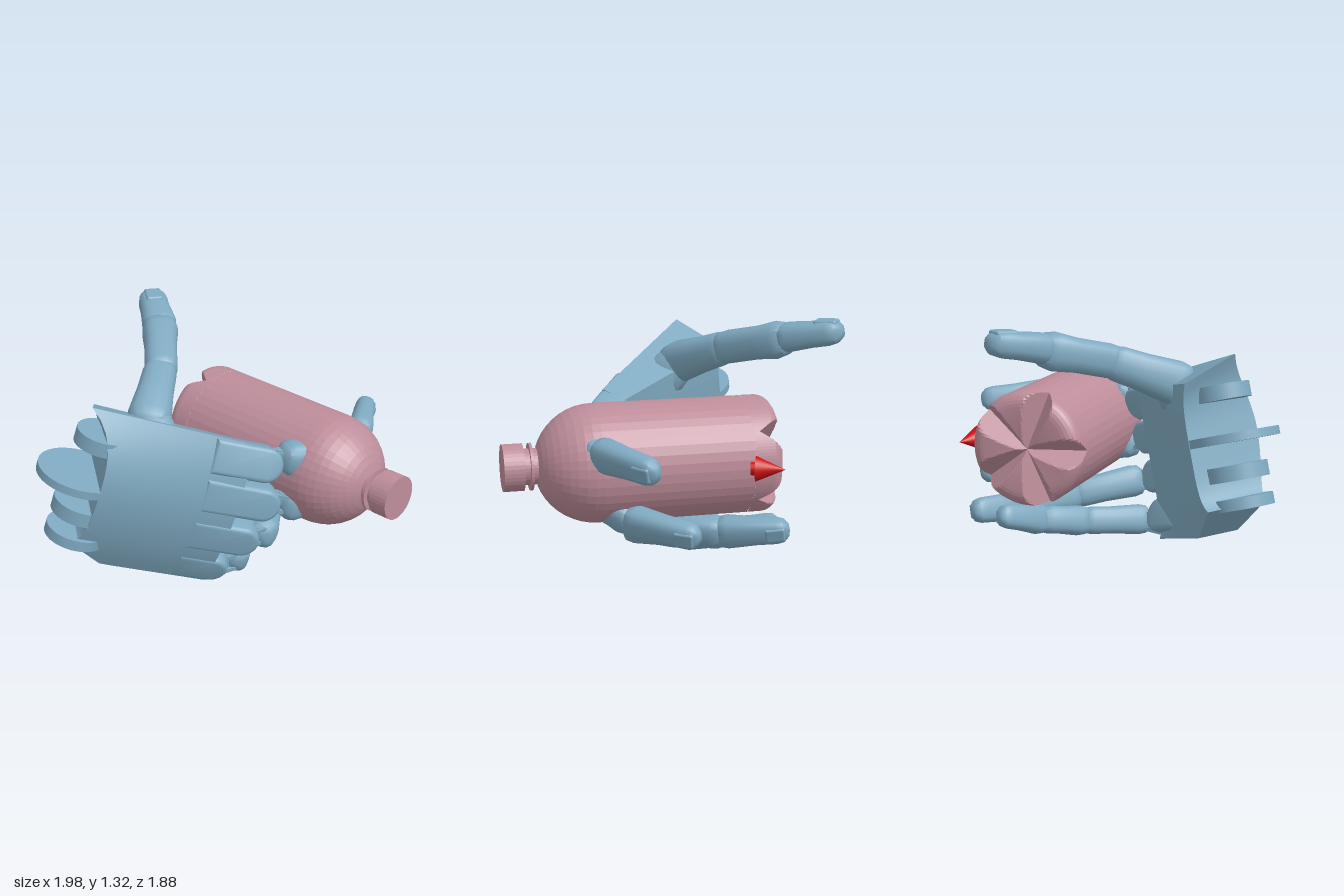
import * as THREE from 'three';
import { toCreasedNormals } from 'three/addons/utils/BufferGeometryUtils.js';
import { RoundedBoxGeometry } from 'three/addons/geometries/RoundedBoxGeometry.js';

const V = (x, y, z) => new THREE.Vector3(x, y, z);
const handMat = new THREE.MeshStandardMaterial({ color: 0x7fa9c0 });
const bottleMat = new THREE.MeshStandardMaterial({ color: 0xbd8d9a, flatShading: true });
const redMat = new THREE.MeshStandardMaterial({ color: 0xcc1111 });

// Hand frame: along the palm to the knuckles, across it, and out of its back
const along = V(0.76, -0.3, 0.575).normalize();
const across = V(0.25, 0.95, 0.17).normalize();
const back = along.clone().cross(across).normalize();
across.crossVectors(back, along);
const origin = V(-0.4, 0.6, 0.19);
const handPoint = (a, b, c) =>
  origin.clone().addScaledVector(along, a).addScaledVector(across, b).addScaledVector(back, c);
const arch = b => -0.5 * b * b;

function add(group, name, geometry, material) {
  const mesh = new THREE.Mesh(geometry, material);
  mesh.name = name;
  group.add(mesh);
  return mesh;
}

// Rounded, slightly square segment from p to q, with a waist and an optional nail
function segment(name, p, q, r0, r1, { side = across, nail = false, flat = 1 } = {}) {
  const group = new THREE.Group();
  group.name = name;
  const dir = q.clone().sub(p), L = dir.length();
  dir.normalize();
  const waist = (r0 + r1) * 0.47;
  const profile = [
    [0, -r0 * 0.5], [r0 * 0.6, -r0 * 0.4], [r0 * 0.92, -r0 * 0.1], [r0, r0 * 0.35],
    [waist, L * 0.5], [r1, L - r1], [r1 * 0.87, L - r1 * 0.45], [r1 * 0.5, L - r1 * 0.1], [0, L],
  ].map(([x, y]) => new THREE.Vector2(x, y));
  const geo = new THREE.LatheGeometry(profile, 20);
  const pos = geo.attributes.position;
  for (let i = 0; i < pos.count; i++) {
    const x = pos.getX(i), z = pos.getZ(i), r = Math.hypot(x, z);
    if (r < 1e-6) continue;
    const k = 1 / Math.cbrt(Math.abs(x / r) ** 3 + Math.abs(z / r) ** 3);
    pos.setX(i, x * k);
    pos.setZ(i, z * k * flat);
  }
  add(group, name + 'Shell', toCreasedNormals(geo, 0.7), handMat);
  if (nail) {
    const plate = add(group, 'nail', new RoundedBoxGeometry(r1 * 1.15, r1 * 1.5, r1 * 0.35, 3, r1 * 0.17), handMat);
    plate.position.set(0, L - r1 * 1.05, r1 * 0.84 * flat);
    plate.rotation.x = -0.12;
  }
  const top = dir.clone().cross(side).normalize();
  group.quaternion.setFromRotationMatrix(new THREE.Matrix4().makeBasis(dir.clone().cross(top), dir, top));
  group.position.copy(p);
  return group;
}

// Hinge: two lugs and a pin between a knuckle and a finger
function hinge(p, q) {
  const group = new THREE.Group();
  group.name = 'fingerHinge';
  const dir = q.clone().sub(p), L = dir.length();
  dir.normalize();
  for (const s of [-1, 1])
    add(group, 'hingeLug', new THREE.BoxGeometry(0.022, L + 0.06, 0.07), handMat).position.set(s * 0.045, L / 2, 0);
  add(group, 'hingePin', new THREE.CylinderGeometry(0.022, 0.022, 0.12, 12).rotateZ(Math.PI / 2), handMat).position.y = L / 2;
  const top = dir.clone().cross(across).normalize();
  group.quaternion.setFromRotationMatrix(new THREE.Matrix4().makeBasis(dir.clone().cross(top), dir, top));
  group.position.copy(p);
  return group;
}

// Positions of the four knuckle lobes: reach along the palm, place across it
const knuckles = { index: [0.4, 0.29], middle: [0.445, 0.065], ring: [0.405, -0.195], little: [0.31, -0.445] };

function buildPalm() {
  const palm = new THREE.Group();
  palm.name = 'palm';
  palm.quaternion.setFromRotationMatrix(new THREE.Matrix4().makeBasis(along, across, back));
  palm.position.copy(origin);

  // Arched plate, thicker at the wrist, cut off at its lower corner and drawn in towards the thumb
  const geo = new THREE.BoxGeometry(1, 1, 1, 12, 16, 1);
  const pos = geo.attributes.position;
  for (let i = 0; i < pos.count; i++) {
    const s = pos.getX(i) + 0.5, w = pos.getY(i) + 0.5, outer = pos.getZ(i) > 0;
    const edge = Math.min(1, Math.abs(w * 2 - 1) ** 4);
    const start = -0.55 - (w > 0.5 && outer ? 0.13 : 0.06) * edge;
    const a = start + (0.21 - start) * s;
    const low = -0.53 + 0.13 * Math.max(0, (-0.4 - a) / 0.2);
    const depth = -0.45 + 0.24 * s;
    const high = outer ? 0.385 : 0.39 + 0.26 * depth;
    const b = low + (high - low) * w;
    const crown = arch(b) - (w > 0.5 ? 0.08 * (1 - s) * (2 * w - 1) ** 2 : 0);
    pos.setXYZ(i, a, b, outer ? crown : Math.min(depth, arch(b) - 0.1));
  }
  add(palm, 'palmPlate', toCreasedNormals(geo, 0.5), handMat);

  // Round-ended knuckle lobes, flush with the back of the palm
  for (const [finger, [a, b]] of Object.entries(knuckles)) {
    const r = 0.097, bevel = 0.025;
    const shape = new THREE.Shape();
    shape.moveTo(0, -r);
    shape.lineTo(a - r, -r);
    shape.absarc(a - r, 0, r, -Math.PI / 2, Math.PI / 2, false);
    shape.lineTo(0, r);
    const lobe = new THREE.ExtrudeGeometry(shape, {
      depth: 0.11, bevelThickness: bevel, bevelSize: bevel, bevelOffset: -bevel, bevelSegments: 3, curveSegments: 16,
    }).translate(0, 0, -0.11 - bevel);
    const mesh = add(palm, finger + 'Knuckle', toCreasedNormals(lobe, 0.6), handMat);
    mesh.position.set(0, b, arch(b) + 0.004);
    mesh.rotation.x = Math.atan(-b);
  }

  // Wrist: one broad disc and several rounded tabs
  const disc = add(palm, 'wristDisc', new THREE.CylinderGeometry(0.24, 0.24, 0.045, 40), handMat);
  disc.position.set(-0.628, -0.04, -0.22);
  for (const [b, r, h] of [[0.2, 0.15, 0.08], [-0.22, 0.17, 0.08], [-0.38, 0.17, 0.06]])
    add(palm, 'wristTab', new THREE.CylinderGeometry(r, r, h, 32), handMat).position.set(-0.57, b, -0.2);
  return palm;
}

function buildFinger(name, r, path) {
  const finger = new THREE.Group();
  finger.name = name + 'Finger';
  const [a, b] = knuckles[name];
  finger.add(hinge(handPoint(a - 0.05, b, arch(b) - 0.085), path[0]));
  ['proximalSegment', 'middleSegment', 'fingertip'].forEach((part, i) => {
    const end = i === 2;
    const q = path[i + 1].clone();
    if (!end) q.addScaledVector(q.clone().sub(path[i]).normalize(), r * 0.3);
    finger.add(segment(part, path[i], q, r * (1.05 - i * 0.02), r * (end ? 0.8 : 0.96), { nail: end, flat: end ? 0.8 : 0.93 }));
  });
  return finger;
}

function buildThumb() {
  const thumb = new THREE.Group();
  thumb.name = 'thumb';
  const side = V(-0.8, 0, -0.5);
  thumb.add(segment('thumbBase', V(-0.43, 0.88, -0.11), V(-0.33, 1.06, -0.24), 0.13, 0.1, { side }));
  thumb.add(segment('thumbProximal', V(-0.41, 0.97, -0.18), V(-0.05, 1.13, -0.42), 0.12, 0.095, { side }));
  thumb.add(segment('thumbMiddle', V(-0.1, 1.11, -0.38), V(0.21, 1.21, -0.69), 0.092, 0.102, { side }));
  thumb.add(segment('thumbTip', V(0.17, 1.205, -0.65), V(0.37, 1.265, -0.92), 0.098, 0.085, { side, nail: true, flat: 0.82 }));
  return thumb;
}

function buildBottle() {
  const bottle = new THREE.Group();
  bottle.name = 'bottle';
  const R = 0.317;
  const lathe = (pts, n) => new THREE.LatheGeometry(pts.map(([x, y]) => new THREE.Vector2(x, y)), n);

  // Base with a rounded rim; five V grooves cut across it, deepest at the rim
  const rim = [];
  for (let i = 0; i <= 12; i++) rim.push([0.02 * i, -0.48 - 0.03 * Math.sin((i / 12) * Math.PI / 2)]);
  for (let i = 1; i <= 6; i++) {
    const t = (i / 6) * Math.PI / 2;
    rim.push([0.24 + (R - 0.24) * Math.sin(t), -0.44 - 0.07 * Math.cos(t)]);
  }
  for (let i = 1; i <= 9; i++) rim.push([R, -0.44 + i * 0.01]);
  const base = lathe(rim, 120);
  const pos = base.attributes.position;
  for (let i = 0; i < pos.count; i++) {
    const x = pos.getX(i), y = pos.getY(i), z = pos.getZ(i), r = Math.hypot(x, z);
    const step = Math.PI * 0.4, ang = Math.atan2(-z, x) - step / 2;
    const off = Math.abs(ang - Math.round(ang / step) * step) * r;
    pos.setY(i, Math.min(-0.35, Math.max(y, -0.46 + 0.08 * (r / R) - 1.4 * off)));
  }
  add(bottle, 'bottleBase', base.rotateX(Math.PI / 2), bottleMat);

  // Straight wall and domed shoulder
  const wall = [[R, -0.35], [R, -0.15], [R, 0.05], [R, 0.25], [R, 0.45]];
  for (let i = 1; i <= 9; i++) {
    const t = (i / 9) * 1.26;
    wall.push([R * Math.cos(t), 0.45 + 0.325 * Math.sin(t)]);
  }
  add(bottle, 'bottleBody', lathe(wall, 40).rotateX(Math.PI / 2), bottleMat);

  // Neck with a thin ring, then the cap
  const neck = [[0.095, 0.74], [0.095, 0.785], [0.125, 0.785], [0.125, 0.8], [0.095, 0.8], [0.095, 0.84]];
  add(bottle, 'bottleNeck', lathe(neck, 36).rotateX(Math.PI / 2), bottleMat);
  add(bottle, 'bottleCap', new THREE.CylinderGeometry(0.125, 0.125, 0.108, 36).rotateX(Math.PI / 2), bottleMat).position.z = 0.886;
  bottle.position.set(0.365, 0.615, 0);
  return bottle;
}

// Red pointer: a cone on a short stem
function buildPointer() {
  const pointer = new THREE.Group();
  pointer.name = 'pointer';
  add(pointer, 'pointerCone', new THREE.ConeGeometry(0.068, 0.155, 24), redMat).position.y = 0.0775;
  add(pointer, 'pointerStem', new THREE.CylinderGeometry(0.035, 0.035, 0.03, 16), redMat).position.y = -0.01;
  pointer.position.set(0.705, 0.625, -0.335);
  pointer.quaternion.setFromUnitVectors(V(0, 1, 0), V(0.055, 0, -0.145).normalize());
  return pointer;
}

export function createModel() {
  const model = new THREE.Group();
  model.name = 'handHoldingBottle';
  const hand = new THREE.Group();
  hand.name = 'hand';
  hand.add(buildPalm(), buildThumb());
  hand.add(buildFinger('index', 0.09, [V(0.09, 0.765, 0.38), V(0.38, 0.75, 0.52), V(0.63, 0.73, 0.46), V(0.98, 0.71, 0.245)]));
  hand.add(buildFinger('middle', 0.088, [V(0.08, 0.49, 0.4), V(0.38, 0.42, 0.44), V(0.61, 0.355, 0.3), V(0.87, 0.325, 0.0)]));
  hand.add(buildFinger('ring', 0.088, [V(0.0, 0.29, 0.29), V(0.32, 0.23, 0.07), V(0.5, 0.225, -0.22), V(0.66, 0.26, -0.545)]));
  hand.add(buildFinger('little', 0.082, [V(-0.08, 0.095, 0.16), V(0.2, 0.125, -0.08), V(0.37, 0.17, -0.28), V(0.505, 0.25, -0.54)]));
  model.add(hand, buildBottle(), buildPointer());
  return model;
}
